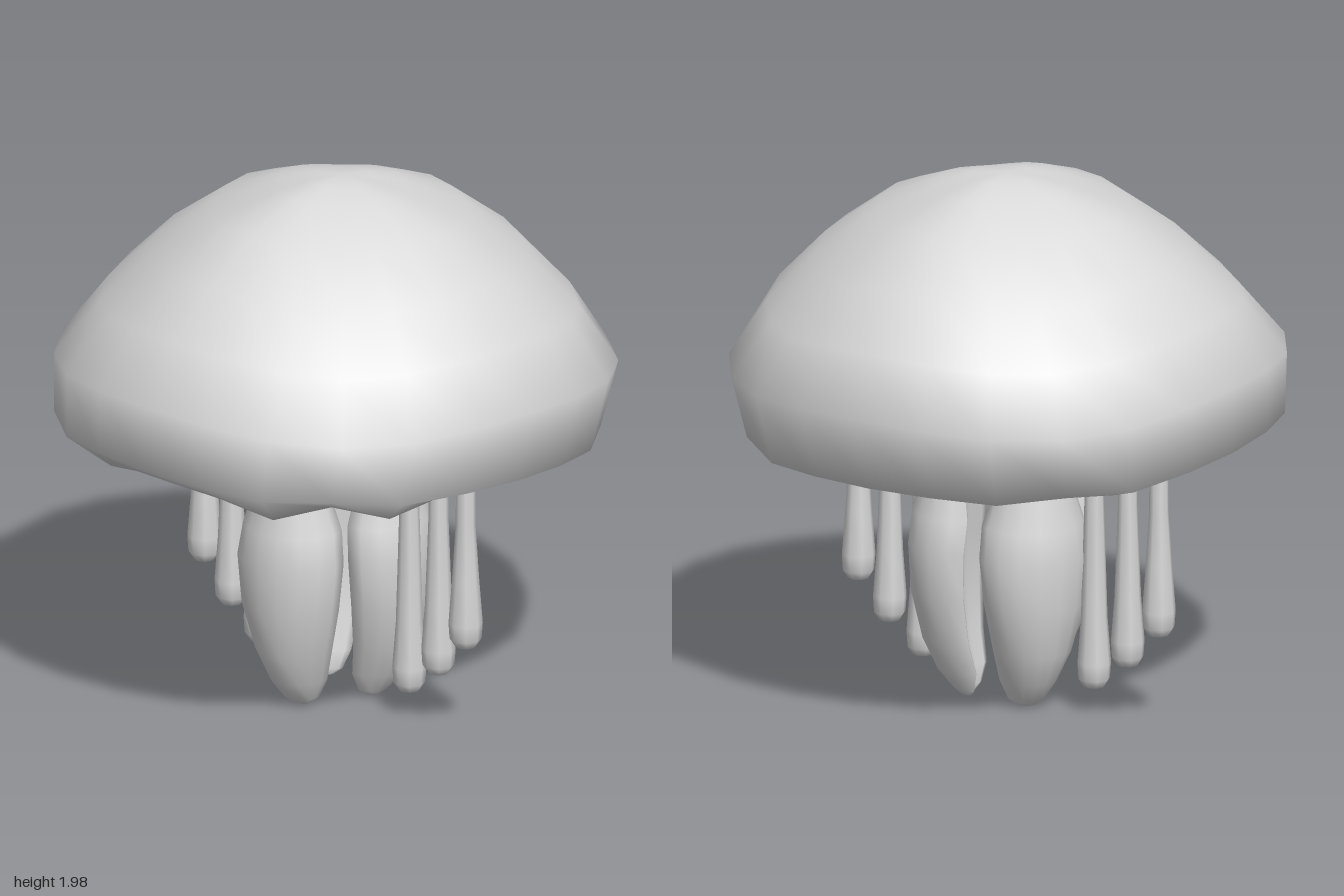
import * as THREE from 'three';
import { mergeVertices } from 'three/addons/utils/BufferGeometryUtils.js';

// Smooth skin over closed rings of points, listed from top to bottom
function loft(rings) {
  const n = rings[0].length, index = [];
  for (let i = 0; i < rings.length - 1; i++) {
    for (let j = 0; j < n; j++) {
      const k = (j + 1) % n;
      const a = i * n + j, b = a + n, c = (i + 1) * n + k, d = i * n + k;
      index.push(a, b, c, a, c, d);
    }
  }
  const geo = new THREE.BufferGeometry();
  geo.setAttribute('position', new THREE.Float32BufferAttribute(rings.flat(2), 3));
  geo.setIndex(index);
  const merged = mergeVertices(geo, 1e-4);
  merged.computeVertexNormals();
  return merged;
}

// Domed bell, slightly squared in plan, with a scalloped hem and a hollow underneath
function bellGeometry() {
  const hem = [0, 0.01, 0.06, 0, 0.06, 0.01]; // hem drop every 15 degrees
  // radius, height, forward shift, tilt, share of hem drop, widening and sag on the diagonals
  const profile = [
    [0, 1.975, -0.03, 0, 0, 0, 0],
    [0.12, 1.968, -0.03, 0.028, 0, 0, 0.005],
    [0.25, 1.94, -0.03, 0.028, 0, 0, 0.015],
    [0.47, 1.86, -0.03, 0.028, 0, 0, 0.03],
    [0.69, 1.705, -0.03, 0.03, 0, 0, 0.04],
    [0.865, 1.53, -0.025, 0.035, 0, 0.005, 0.045],
    [0.995, 1.32, -0.005, 0.035, 0, 0.03, 0.04],
    [0.96, 1.06, 0.04, 0.055, 0.3, 0.035, 0],
    [0.8, 1.02, 0.04, 0, 1, 0.03, 0],
    [0.62, 1.035, 0.02, 0, 0.2, 0, 0],
    [0.38, 1.09, 0, 0, 0, 0, 0],
    [0, 1.16, 0, 0, 0, 0, 0],
  ];
  return loft(profile.map(([r, y, shift, tilt, drop, widen, sag]) =>
    Array.from({ length: 24 }, (_, j) => {
      const a = (j / 24) * Math.PI * 2;
      const diagonal = Math.sin(2 * a) ** 2;
      const radius = r * (1 + widen * diagonal);
      const z = radius * Math.cos(a);
      return [
        0.987 * radius * Math.sin(a),
        y + tilt * z - drop * hem[j % 6] - sag * diagonal,
        z + shift,
      ];
    })));
}

// Broad leaf-like arm: rounded outside, grooved inside
function armGeometry() {
  // height, half width, inner reach, outer reach
  const rows = [
    [1.18, 0.13, 0.15, 0.30],
    [1.0, 0.13, 0.15, 0.30],
    [0.85, 0.145, 0.14, 0.32],
    [0.7, 0.195, 0.12, 0.36],
    [0.58, 0.215, 0.13, 0.375],
    [0.4, 0.195, 0.135, 0.365],
    [0.22, 0.145, 0.125, 0.325],
    [0.1, 0.1, 0.105, 0.27],
    [0.03, 0.07, 0.12, 0.21],
    [0.005, 0.04, 0.14, 0.18],
    [0, 0, 0.16, 0.16],
  ];
  return loft(rows.map(([y, w, inner, outer]) =>
    Array.from({ length: 16 }, (_, j) => {
      const t = (j / 16) * Math.PI * 2, c = Math.cos(t);
      const depth = c >= 0 ? 0.25 + 0.75 * c : 0.25 * (1 + 2 * c) ** 2;
      return [w * Math.sin(t), y, inner + (outer - inner) * depth];
    })));
}

// Thin tentacle swelling to a blunt tip
function tentacleGeometry(tip) {
  const points = [[0, 0], [0.038, 0.01], [0.058, 0.04], [0.062, 0.1], [0.049, 0.27]]
    .map(([r, y]) => new THREE.Vector2(r, tip + y));
  points.push(new THREE.Vector2(0.036, Math.max(0.8, tip + 0.45)), new THREE.Vector2(0.034, 1.11));
  return new THREE.LatheGeometry(points, 8);
}

export function createModel() {
  const model = new THREE.Group();
  model.name = 'jellyfish';
  const grey = new THREE.MeshStandardMaterial({ color: 0xd8d8d8 });
  grey.name = 'pale grey';

  const add = (name, geometry) => {
    const mesh = new THREE.Mesh(geometry, grey);
    mesh.name = name;
    model.add(mesh);
    return mesh;
  };

  add('bell', bellGeometry());

  // Three broad arms around the middle
  const arm = armGeometry();
  add('frontArm', arm).position.z = 0.03;
  for (const [name, side] of [['leftArm', 1], ['rightArm', -1]]) {
    const mesh = add(name, arm);
    mesh.position.set(-0.015 * side, 0, -0.01);
    mesh.rotation.y = side * THREE.MathUtils.degToRad(112);
  }

  // Three thin tentacles on each side, shorter towards the rim
  for (const [x, tip] of [[0.37, 0.085], [0.515, 0.19], [0.65, 0.325]]) {
    const geometry = tentacleGeometry(tip);
    add('leftTentacle', geometry).position.x = x;
    add('rightTentacle', geometry).position.x = -x;
  }
  return model;
}
